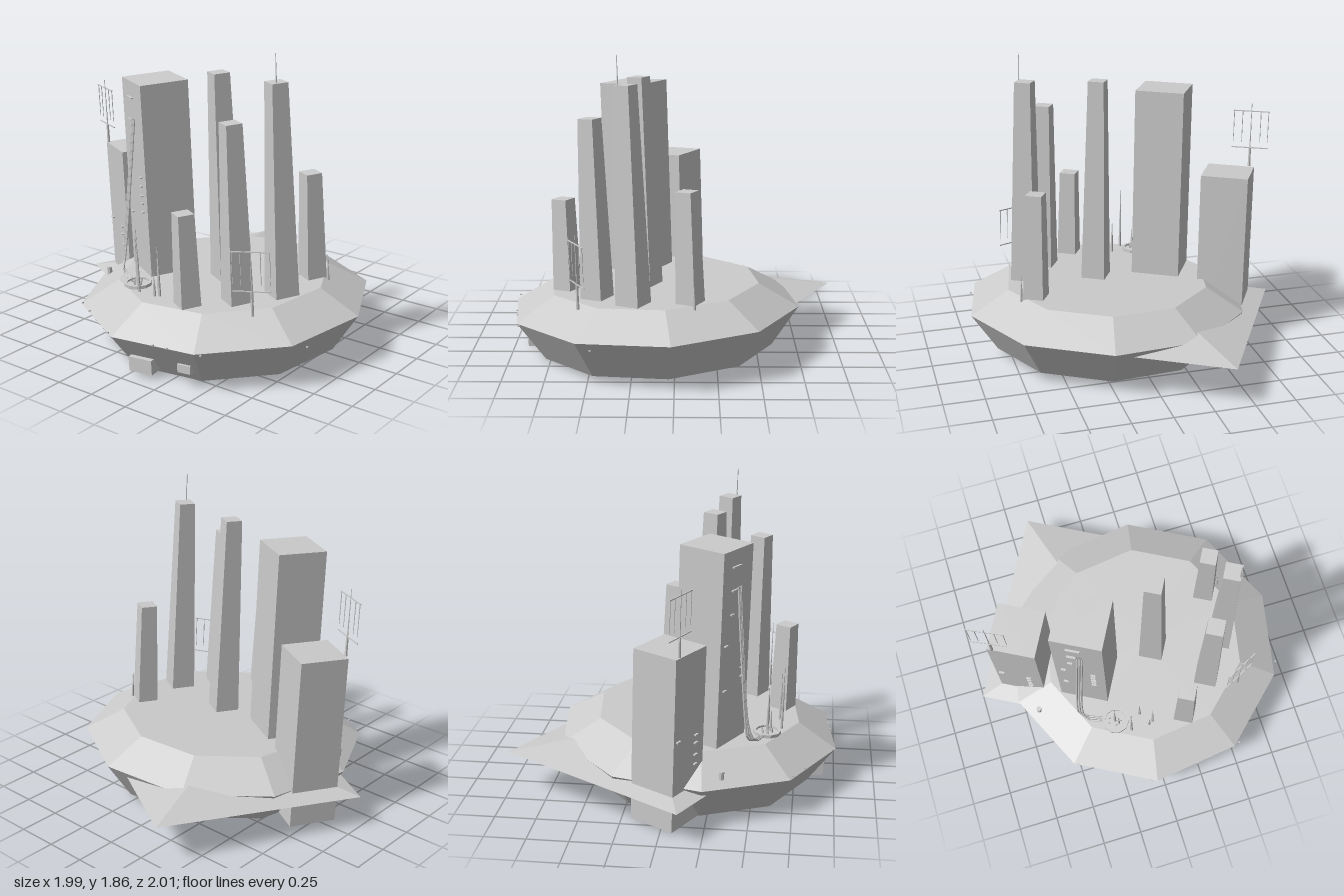
import * as THREE from 'three';

const TILT_X = 0.03, TILT_Z = 0.027, YAW = -0.5;

export function createModel() {
  const root = new THREE.Group();
  root.name = 'floatingCity';
  const mat = new THREE.MeshStandardMaterial({ color: 0xcccccc, flatShading: true, side: THREE.DoubleSide });

  // Everything shares the slight lean of the island; yaw turns a part about its own axis
  const settle = (obj, name, x, y, z, yaw = 0) => {
    obj.name = name;
    obj.position.set(x, y, z);
    obj.rotation.set(TILT_X, yaw, TILT_Z, 'XZY');
    root.add(obj);
    return obj;
  };
  const put = (name, geo, x, y, z, yaw) => settle(new THREE.Mesh(geo, mat), name, x, y, z, yaw);
  const child = (parent, name, geo, x, y, z) => {
    const m = new THREE.Mesh(geo, mat);
    m.name = name;
    m.position.set(x, y, z);
    parent.add(m);
    return m;
  };

  // Ten-sided island hull
  const profile = [[0, 0], [0.725, 0], [0.893, 0.245], [0.652, 0.385], [0, 0.385]]
    .map(([r, y]) => new THREE.Vector2(r, y));
  put('hull', new THREE.LatheGeometry(profile, 10), 0.113, 0.035, 0.12, 0.438);

  // Low square pyramid whose corners break out of the hull as a fin
  put('finPlate', new THREE.ConeGeometry(0.905, 0.165, 4), -0.13, 0.323, -0.13, 0.28);

  // Square tower, placed by the centre of its roof
  const tower = (name, x, y, z, top, base, h) => {
    const geo = new THREE.CylinderGeometry(top / Math.SQRT2, base / Math.SQRT2, h, 4)
      .rotateY(Math.PI / 4).translate(0, -h / 2, 0);
    return put(name, geo, x, y, z, YAW);
  };
  const block = tower('lowBlock', -0.675, 1.09, 0.043, 0.295, 0.295, 1.07);
  const slab = tower('tallBlock', -0.32, 1.605, 0.27, 0.305, 0.305, 1.23);
  [
    [0.123, 1.69, 0.22], [0.567, 1.7, 0.278], [0.41, 1.485, 0.493],
    [0.21, 0.965, 0.675], [0.585, 1.095, -0.07],
  ].forEach(([x, y, z], i) => {
    const h = y - 0.39;
    tower('slimTower' + (i + 1), x, y, z, 0.1, 0.1 + 0.04 * h, h);
  });
  put('roofAntenna', new THREE.CylinderGeometry(0.002, 0.004, 0.17, 5), 0.592, 1.785, 0.32);

  // Ledges on the front faces: x along the face, drop from the roof, width
  const ledges = (parent, half, list) => list.forEach(([x, drop, w]) =>
    child(parent, 'ledge', new THREE.BoxGeometry(w, 0.008, 0.016), x, -drop, half + 0.005));
  ledges(slab, 0.1525, [
    [-0.02, 0.1, 0.085], [-0.035, 0.24, 0.055], [-0.05, 0.385, 0.03], [-0.1, 0.565, 0.03], [-0.1, 0.845, 0.03],
    ...[0.58, 0.635, 0.695, 0.745, 0.8].map(d => [0.08, d, 0.03]),
  ]);
  ledges(block, 0.1475, [[-0.11, 0.505, 0.035], ...[0.52, 0.57, 0.645, 0.705].map(d => [0.065, d, 0.03])]);
  put('wallVent', new THREE.CylinderGeometry(0.016, 0.016, 0.05, 8), -0.665, 0.31, 0.34);
  put('wallVentFoot', new THREE.BoxGeometry(0.025, 0.018, 0.05), -0.675, 0.205, 0.3, YAW);

  // Pipes dropping from the tall block into the basin
  for (let i = -1; i <= 1; i++) {
    const o = i * 0.013;
    const path = new THREE.CatmullRomCurve3([
      [-0.375 + o, 1.37, 0.41 + o / 2], [-0.39 + o, 1.1, 0.425 + o / 2], [-0.418 + o, 0.55, 0.465 + o / 2],
      [-0.415 + o, 0.45, 0.485 + o], [-0.39, 0.42, 0.51 + o], [-0.29, 0.41, 0.55 + o],
    ].map(p => new THREE.Vector3(...p)));
    const pipe = new THREE.Mesh(new THREE.TubeGeometry(path, 24, 0.006, 6), mat);
    pipe.name = 'pipe';
    root.add(pipe);
  }

  // Basin: low ring with a floor and small posts
  const ring = [[0, 0], [0.085, 0], [0.085, 0.02], [0.068, 0.02], [0.068, 0.008], [0, 0.008]]
    .map(([r, y]) => new THREE.Vector2(r, y));
  put('basin', new THREE.LatheGeometry(ring, 10), -0.215, 0.4, 0.58);
  [[-0.25, 0.555], [-0.215, 0.55], [-0.26, 0.585], [-0.22, 0.61], [-0.185, 0.59]].forEach(([x, z]) =>
    put('basinPeg', new THREE.CylinderGeometry(0.006, 0.006, 0.03, 5), x, 0.42, z));

  // Slender masts on the deck: x, z, top height
  [
    [-0.22, 0.58, 0.7], [-0.2, 0.6, 0.54], [-0.135, 0.665, 0.8], [-0.055, 0.58, 0.6],
    [-0.016, 0.665, 0.54], [0.01, 0.65, 0.71], [0.7, -0.115, 0.59],
  ].forEach(([x, z, top]) => {
    const h = top - 0.4;
    const g = settle(new THREE.Group(), 'mast', x, 0.4, z);
    child(g, 'mastBase', new THREE.CylinderGeometry(0.006, 0.009, h * 0.6, 6), 0, h * 0.3, 0);
    child(g, 'mastTip', new THREE.CylinderGeometry(0.002, 0.004, h * 0.4, 5), 0, h * 0.8, 0);
  });

  // Aerial racks: pole, two crossbars and hanging rods; foot is the height of the lower bar
  const rack = (x, y, z, foot, yaw) => {
    const g = settle(new THREE.Group(), 'aerialRack', x, y, z, yaw);
    child(g, 'rackFoot', new THREE.CylinderGeometry(0.008, 0.01, foot, 6), 0, foot / 2, 0);
    child(g, 'rackPole', new THREE.CylinderGeometry(0.002, 0.004, 0.29, 5), 0, foot + 0.145, 0);
    for (const h of [0, 0.238])
      child(g, 'crossbar', new THREE.BoxGeometry(0.232, 0.006, 0.006), 0, foot + h, 0);
    for (const dx of [-0.108, -0.06, 0.055, 0.108])
      child(g, 'rackRod', new THREE.CylinderGeometry(0.003, 0.002, 0.2, 5), dx, foot + 0.138, 0);
  };
  rack(-0.845, 1.09, 0.115, 0.12, -0.445);
  rack(0.617, 0.4, 0.56, 0.15, 0.45);

  // Housings on the front of the hull
  put('largeHousing', new THREE.BoxGeometry(0.155, 0.09, 0.14), 0.075, 0.08, 0.855, 0.12);
  put('smallHousing', new THREE.BoxGeometry(0.085, 0.05, 0.11), 0.365, 0.125, 0.83, 0.12);

  // Small lamps around the rim
  [[-0.52, 0.75], [-0.4, 0.82], [-0.1, 0.99], [0.22, 0.97], [0.31, 0.955], [0.52, 0.92], [0.93, 0.47]]
    .forEach(([x, z]) => put('rimLamp', new THREE.BoxGeometry(0.008, 0.008, 0.012), x, 0.262, z));

  return root;
}
